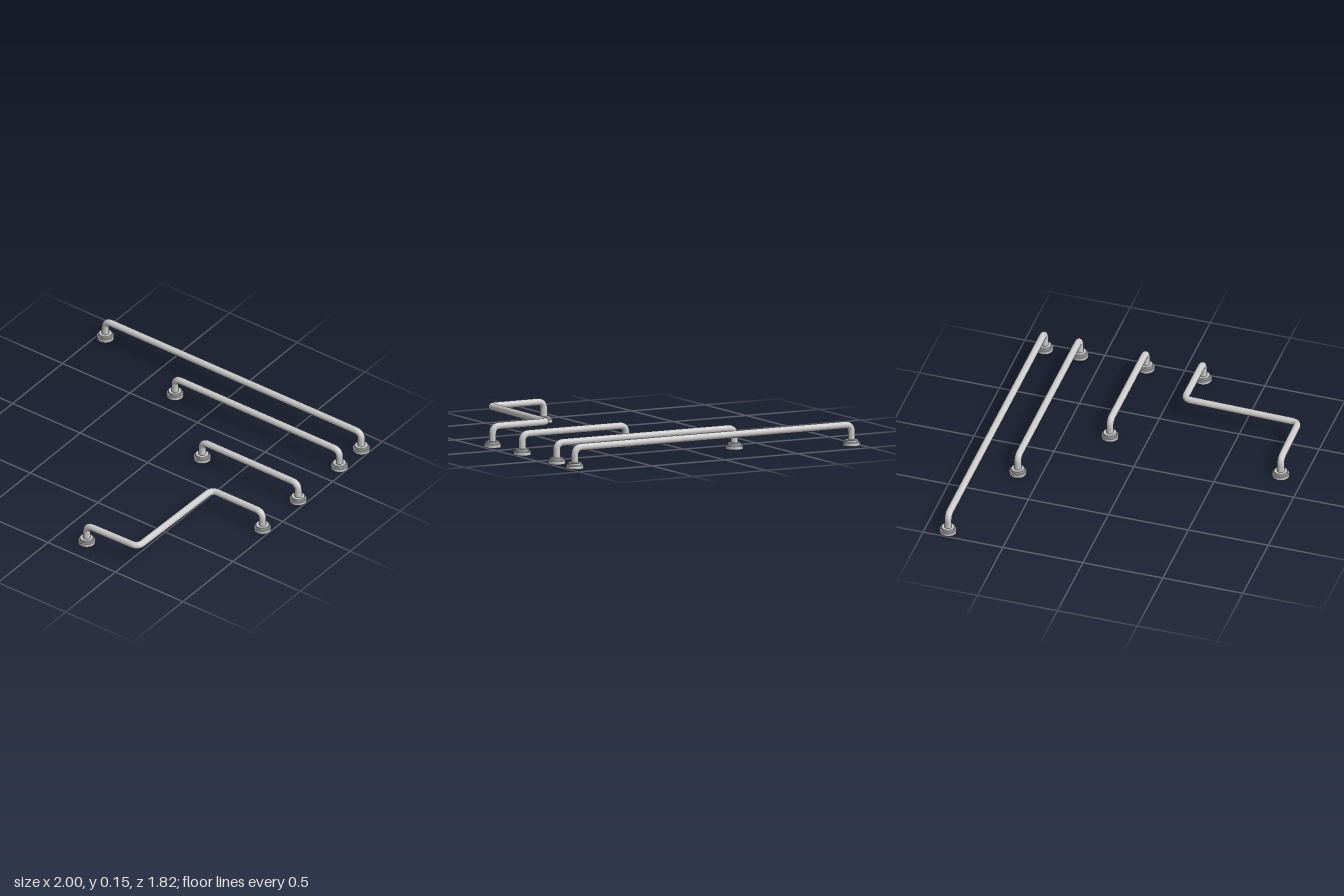
import * as THREE from 'three';
import { toCreasedNormals } from 'three/addons/utils/BufferGeometryUtils.js';

const RADIUS = 0.022, HEIGHT = 0.125, BEND = 0.045, END = 0.948;

// Path with straight runs and rounded corners, sampled only where it bends
class BentPath extends THREE.Curve {
  constructor(corners) {
    super();
    this.points = [corners[0]];
    this.tangents = [corners[1].clone().sub(corners[0]).normalize()];
    for (let i = 1; i < corners.length - 1; i++) {
      const c = corners[i];
      const dirIn = c.clone().sub(corners[i - 1]).normalize();
      const dirOut = corners[i + 1].clone().sub(c).normalize();
      const bend = new THREE.QuadraticBezierCurve3(
        c.clone().addScaledVector(dirIn, -BEND), c, c.clone().addScaledVector(dirOut, BEND));
      for (let k = 0; k <= 8; k++) {
        this.points.push(bend.getPoint(k / 8));
        this.tangents.push(bend.getTangent(k / 8));
      }
    }
    const n = corners.length;
    this.points.push(corners[n - 1]);
    this.tangents.push(corners[n - 1].clone().sub(corners[n - 2]).normalize());
    this.segments = this.points.length - 1;
  }
  getPointAt(t) { return this.points[Math.round(t * this.segments)].clone(); }
  getPoint(t) { return this.getPointAt(t); }
  getTangentAt(t) { return this.tangents[Math.round(t * this.segments)].clone(); }
}

export function createModel() {
  const model = new THREE.Group();
  model.name = 'grabRails';
  const material = new THREE.MeshStandardMaterial({ color: 0xcccccc });

  // Stepped round wall flange
  const profile = [[0, 0], [0.052, 0], [0.052, 0.02], [0.049, 0.023], [0.042, 0.023],
    [0.042, 0.034], [0.039, 0.037], [0, 0.037]].map(([r, y]) => new THREE.Vector2(r, y));
  const flangeGeometry = toCreasedNormals(new THREE.LatheGeometry(profile, 32), 0.6);

  // One rail: plan points (x, z), with a post and flange at both ends
  function addRail(name, plan) {
    const rail = new THREE.Group();
    rail.name = name;
    const ends = [plan[0], plan[plan.length - 1]];
    const corners = [
      new THREE.Vector3(ends[0][0], 0.01, ends[0][1]),
      ...plan.map(([x, z]) => new THREE.Vector3(x, HEIGHT, z)),
      new THREE.Vector3(ends[1][0], 0.01, ends[1][1]),
    ];
    const path = new BentPath(corners);
    const bar = new THREE.Mesh(new THREE.TubeGeometry(path, path.segments, RADIUS, 20), material);
    bar.name = 'bar';
    rail.add(bar);
    for (const [x, z] of ends) {
      const flange = new THREE.Mesh(flangeGeometry, material);
      flange.name = 'flange';
      flange.position.set(x, 0, z);
      rail.add(flange);
    }
    model.add(rail);
  }

  addRail('longRail', [[-END, -0.86], [END, -0.86]]);
  addRail('mediumRail', [[-0.27, -0.64], [END, -0.64]]);
  addRail('shortRail', [[0.237, -0.225], [END, -0.225]]);
  addRail('crankedRail', [[0.183, 0.86], [0.557, 0.853], [0.573, 0.132], [END, 0.132]]);
  return model;
}
